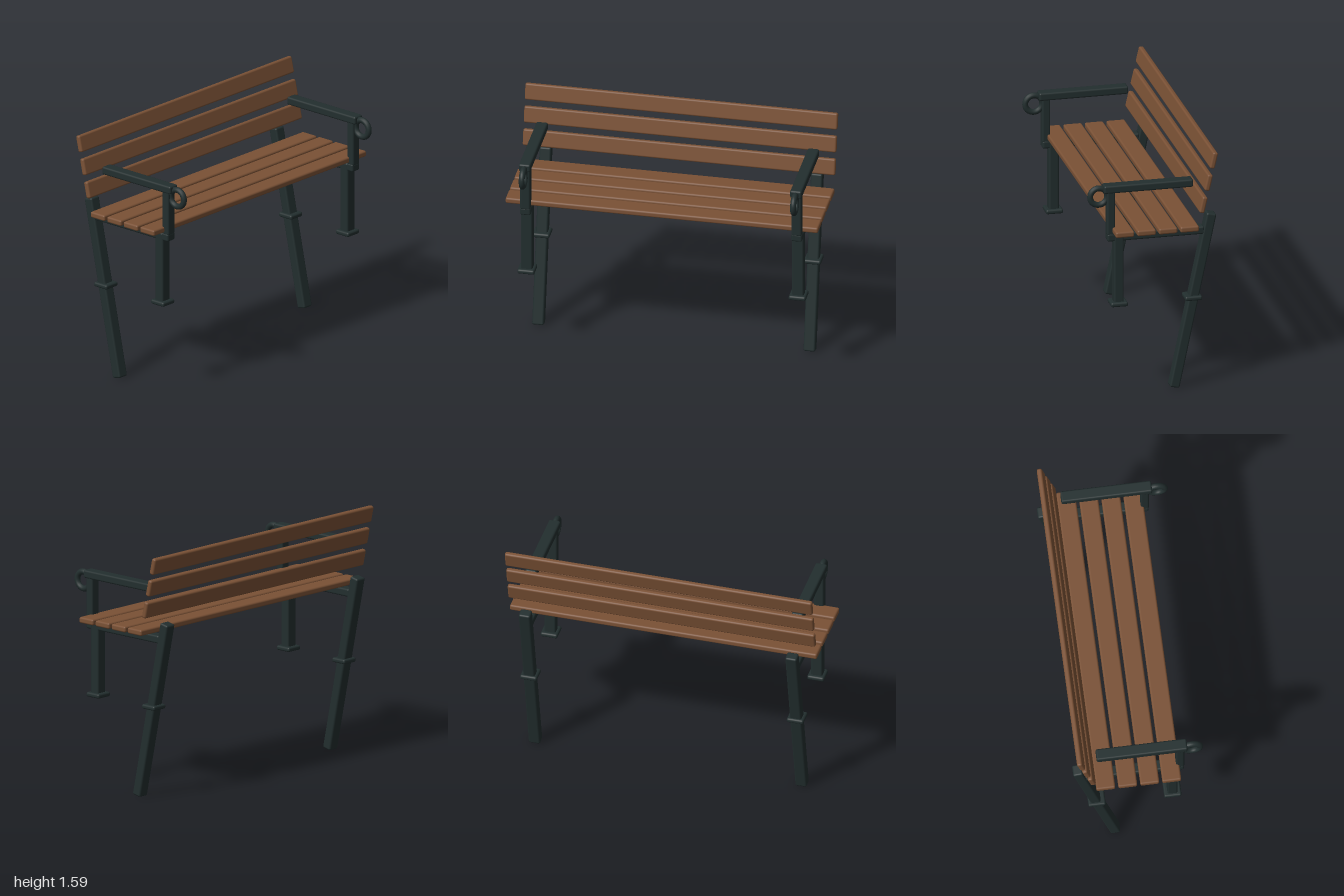
import * as THREE from 'three';
import { RoundedBoxGeometry } from 'three/addons/geometries/RoundedBoxGeometry.js';

const wood = new THREE.MeshStandardMaterial({ color: 0x7a5135 });
wood.name = 'brown wood';
const iron = new THREE.MeshStandardMaterial({ color: 0x222e2e });
iron.name = 'dark iron';

// Box with softened edges; tilt leans the top towards the back
function bar(parent, name, material, size, position, tilt = 0, radius = 0.012) {
  const mesh = new THREE.Mesh(new RoundedBoxGeometry(...size, 2, radius), material);
  mesh.name = name;
  mesh.position.set(...position);
  mesh.rotation.x = -tilt;
  parent.add(mesh);
  return mesh;
}

// One iron end frame, built around x = 0
function endFrame(name) {
  const frame = new THREE.Group();
  frame.name = name;
  bar(frame, 'rearPost', iron, [0.075, 1.168, 0.064], [0, 0.582, -0.262], 0.207);
  bar(frame, 'rearCollar', iron, [0.11, 0.03, 0.11], [0, 0.601, -0.262]);
  bar(frame, 'frontLeg', iron, [0.075, 0.47, 0.064], [0, 0.835, 0.217]);
  bar(frame, 'frontFoot', iron, [0.11, 0.03, 0.11], [0, 0.601, 0.217]);
  bar(frame, 'seatRail', iron, [0.07, 0.052, 0.625], [0, 1.046, -0.022]);
  bar(frame, 'armPost', iron, [0.065, 0.32, 0.053], [0, 1.22, 0.266]);
  bar(frame, 'armrest', iron, [0.075, 0.052, 0.575], [0, 1.367, 0.025]);

  // Scroll ring at the front of the armrest
  const ring = new THREE.Mesh(new THREE.TorusGeometry(0.055, 0.019, 12, 32), iron);
  ring.name = 'armScroll';
  ring.rotation.y = Math.PI / 2;
  ring.position.set(0, 1.317, 0.341);
  frame.add(ring);
  return frame;
}

export function createModel() {
  const bench = new THREE.Group();
  bench.name = 'bench';

  // End frames
  for (const side of [-1, 1]) {
    const frame = endFrame(side > 0 ? 'leftFrame' : 'rightFrame');
    frame.position.x = side * 0.868;
    bench.add(frame);
  }

  // Seat slats
  for (let i = 0; i < 4; i++) {
    bar(bench, 'seatSlat' + (i + 1), wood, [2, 0.039, 0.12], [0, 1.095, 0.2 - i * 0.139]);
  }

  // Leaning back slats
  for (let i = 0; i < 3; i++) {
    bar(bench, 'backSlat' + (i + 1), wood, [2, 0.108, 0.034],
      [0, 1.249 + i * 0.1455, -0.306 - i * 0.0335], 0.225);
  }
  return bench;
}
